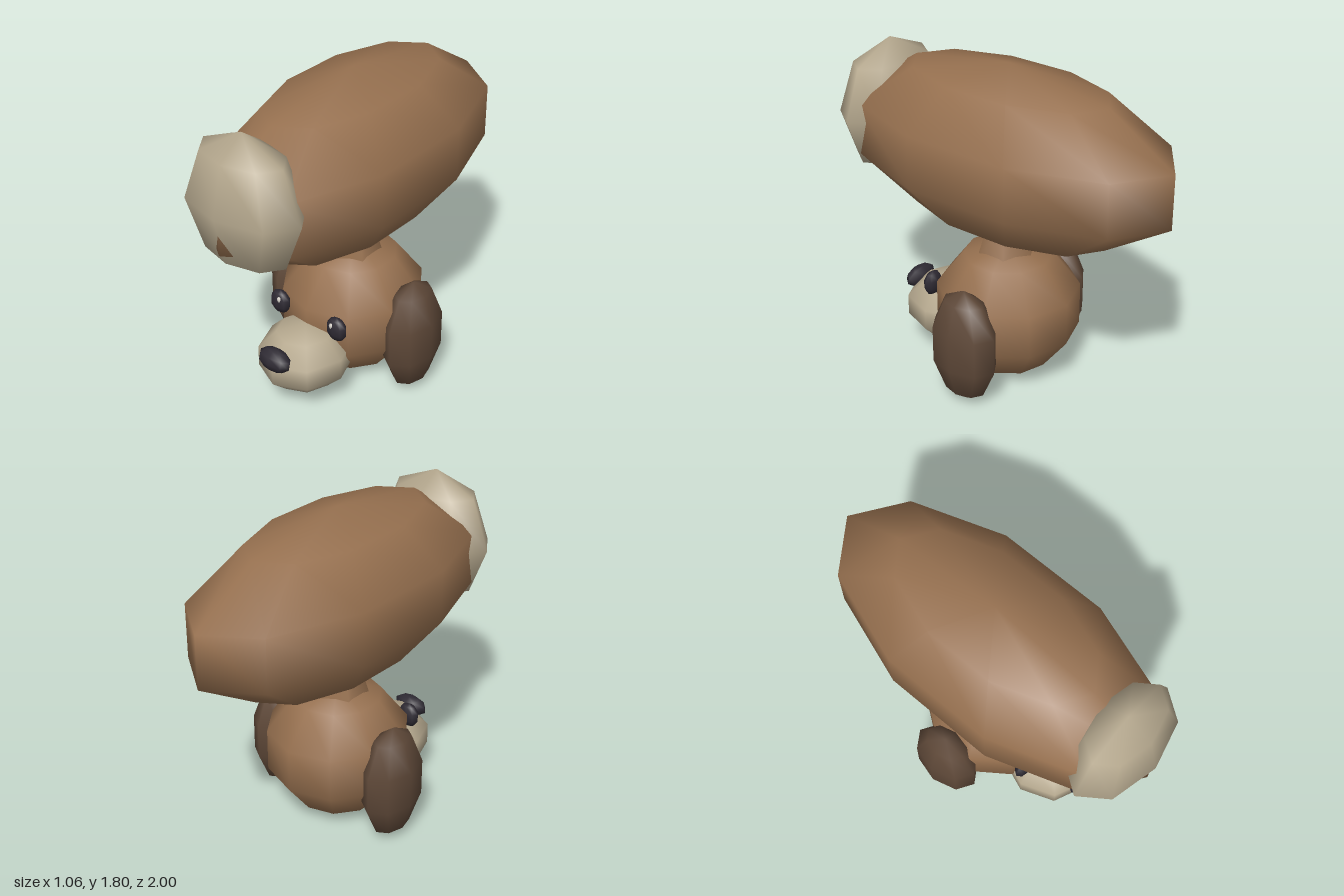
import * as THREE from 'three';

const mat = (color) => new THREE.MeshStandardMaterial({ color });

export function createModel() {
  const model = new THREE.Group();
  const brown = mat(0x96704f);
  const darkBrown = mat(0x5e4838);
  const cream = mat(0xb5a88e);
  const black = mat(0x2e2a33);
  const white = mat(0xd8d4cc);

  // Low-poly ellipsoid with a column of vertices facing +z
  function ellipsoid(name, material, [rx, ry, rz], [x, y, z], around, rings) {
    const geometry = new THREE.SphereGeometry(1, around, rings);
    geometry.rotateY(Math.PI / 2).scale(rx, ry, rz);
    const mesh = new THREE.Mesh(geometry, material);
    mesh.name = name;
    mesh.position.set(x, y, z);
    model.add(mesh);
    return mesh;
  }

  // Long body with a pale patch on its front end
  ellipsoid('body', brown, [0.487, 0.478, 1.04], [0, 1.327, -0.011], 10, 5);
  ellipsoid('bodyPatch', cream, [0.36, 0.38, 0.21], [0, 1.385, 0.79], 8, 4);

  // Tapered neck between head and body
  const neck = new THREE.Mesh(new THREE.CylinderGeometry(0.11, 0.168, 0.18, 6), brown);
  neck.name = 'neck';
  neck.position.set(0, 0.82, 0);
  model.add(neck);

  // Head, muzzle and nose
  ellipsoid('head', brown, [0.41, 0.39, 0.41], [0, 0.41, -0.01], 10, 5);
  ellipsoid('muzzle', cream, [0.257, 0.19, 0.28], [0, 0.258, 0.385], 8, 5);
  const nose = ellipsoid('nose', black, [0.108, 0.064, 0.056], [0, 0.352, 0.63], 8, 5);
  nose.rotation.x = -0.3;

  // Mirrored ears and eyes
  for (const [label, s] of [['left', 1], ['right', -1]]) {
    ellipsoid(label + 'Ear', darkBrown, [0.137, 0.335, 0.208], [s * 0.4, 0.34, -0.026], 8, 5);
    ellipsoid(label + 'Eye', black, [0.066, 0.071, 0.038], [s * 0.197, 0.491, 0.362], 8, 5);
    ellipsoid(label + 'EyeGlint', white, [0.013, 0.018, 0.01], [s * 0.183, 0.518, 0.39], 6, 4);
  }

  return model;
}
